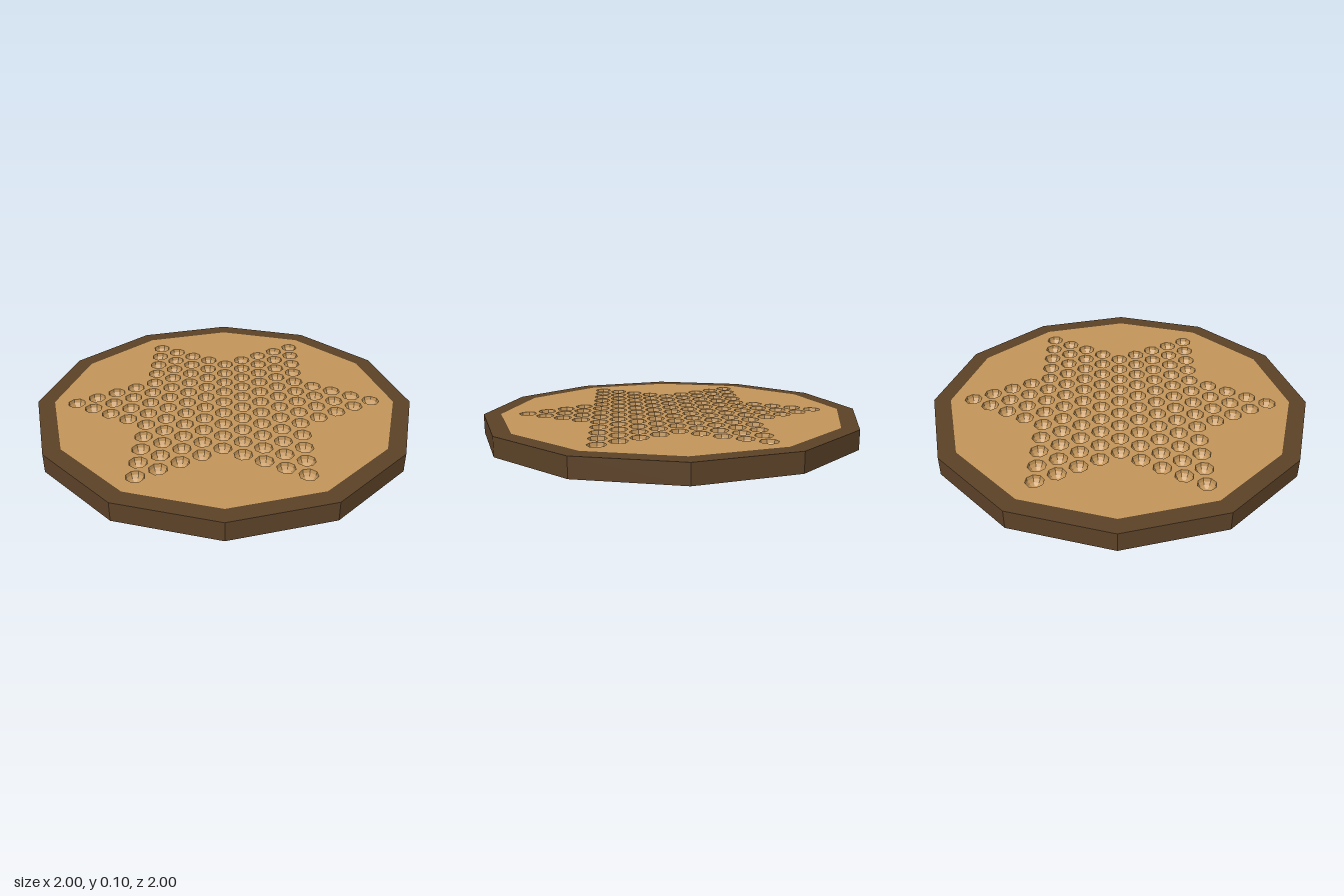
import * as THREE from 'three';
import { mergeGeometries } from 'three/addons/utils/BufferGeometryUtils.js';

const HEIGHT = 0.1, OUTER = 1, INNER = 0.91;
const PIT_R = 0.046, PIT_SIDES = 8, STEP_X = 0.115, STEP_Z = 0.096;

// Corners of a regular polygon
function polygon(radius, sides, cx = 0, cy = 0) {
  return Array.from({ length: sides }, (_, i) => {
    const a = (i / sides) * Math.PI * 2;
    return new THREE.Vector2(cx + radius * Math.cos(a), cy + radius * Math.sin(a));
  });
}

// Centres of the pits in a six-pointed star
function starPoints() {
  const rows = [1, 2, 3, 4, 13, 12, 11, 10, 9, 10, 11, 12, 13, 4, 3, 2, 1];
  return rows.flatMap((count, row) => Array.from({ length: count }, (_, i) =>
    new THREE.Vector2((i - (count - 1) / 2) * STEP_X, (row - 8) * STEP_Z)));
}

export function createModel() {
  const group = new THREE.Group();
  const wood = new THREE.MeshStandardMaterial({ color: 0xc4965a, flatShading: true });
  const pitWood = new THREE.MeshStandardMaterial({ color: 0xc4965a, flatShading: true, side: THREE.DoubleSide });
  const darkWood = new THREE.MeshStandardMaterial({ color: 0x5c4228, flatShading: true });
  const add = (name, geometry, material, y = 0) => {
    const mesh = new THREE.Mesh(geometry, material);
    mesh.name = name;
    mesh.position.y = y;
    group.add(mesh);
  };
  const centres = starPoints();

  // Twelve-sided frame around the board
  const ring = new THREE.Shape(polygon(OUTER, 12));
  ring.holes.push(new THREE.Path(polygon(INNER, 12)));
  add('frame', new THREE.ExtrudeGeometry(ring, { depth: HEIGHT, bevelEnabled: false })
    .rotateX(-Math.PI / 2), darkWood);

  // Playing surface, pierced at every pit
  const face = new THREE.Shape(polygon(INNER, 12));
  for (const c of centres) face.holes.push(new THREE.Path(polygon(PIT_R, PIT_SIDES, c.x, c.y)));
  add('playingSurface', new THREE.ShapeGeometry(face).rotateX(-Math.PI / 2), wood, HEIGHT);

  // Plain underside
  add('underside', new THREE.ShapeGeometry(new THREE.Shape(polygon(INNER, 12)))
    .rotateX(Math.PI / 2), wood);

  // Faceted half-sphere marble pits
  const profile = [0, 1, 2, 3, 4].map((i) => {
    const a = (i / 4) * Math.PI / 2;
    return new THREE.Vector2(i === 4 ? 0 : PIT_R * Math.cos(a), -PIT_R * Math.sin(a));
  });
  const pit = new THREE.LatheGeometry(profile, PIT_SIDES);
  add('marblePits', mergeGeometries(centres.map((c) => pit.clone().translate(c.x, 0, c.y))), pitWood, HEIGHT);

  return group;
}
